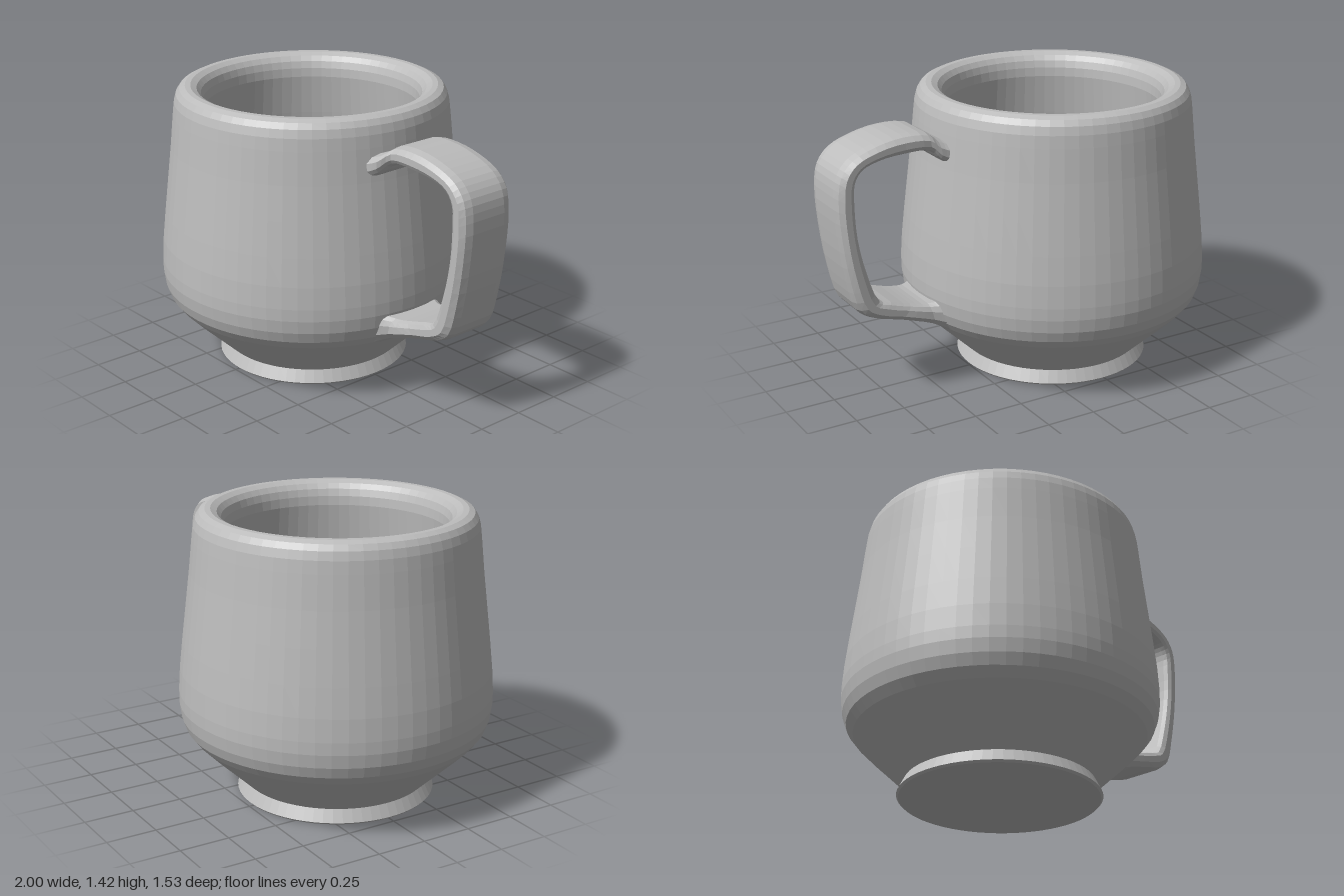
import * as THREE from 'three';

// Handle stations: outer x, y, inner x, y, half width, z offset
const STATIONS = [
  [0.40, 1.24, 0.40, 1.13, 0.20, 0.025],
  [0.48, 1.265, 0.47, 1.165, 0.185, 0.02],
  [0.53, 1.30, 0.52, 1.215, 0.16, 0.005],
  [0.66, 1.31, 0.65, 1.22, 0.157, 0.005],
  [0.80, 1.285, 0.79, 1.205, 0.157, 0.005],
  [0.92, 1.235, 0.87, 1.175, 0.157, 0.005],
  [0.98, 1.165, 0.905, 1.12, 0.157, 0.005],
  [1.00, 1.06, 0.91, 1.02, 0.157, 0.005],
  [0.99, 0.87, 0.90, 0.85, 0.157, 0.005],
  [0.955, 0.64, 0.86, 0.67, 0.157, 0.005],
  [0.91, 0.49, 0.80, 0.52, 0.157, 0.005],
  [0.84, 0.435, 0.74, 0.50, 0.157, 0.005],
  [0.70, 0.395, 0.64, 0.47, 0.157, 0.005],
  [0.52, 0.335, 0.55, 0.455, 0.17, 0.005],
  [0.42, 0.28, 0.46, 0.47, 0.215, 0.005],
];

// Rounded strap section: u runs inner to outer, v runs across the width
const SECTION = [
  [1, -0.62], [1, 0.62], [0.9, 0.86], [0.65, 1], [0.3, 1], [0.1, 0.93], [0, 0.8],
  [0, -0.8], [0.1, -0.93], [0.3, -1], [0.65, -1], [0.9, -0.86],
];

function handleGeometry(steps) {
  const curve = (pick) => new THREE.CatmullRomCurve3(STATIONS.map((s) => new THREE.Vector3(...pick(s))));
  const outer = curve((s) => [s[0], s[1], s[5]]);
  const inner = curve((s) => [s[2], s[3], s[5]]);
  const positions = [];
  const index = [];
  const n = SECTION.length;
  for (let i = 0; i <= steps; i++) {
    const t = i / steps;
    const o = outer.getPoint(t);
    const p = inner.getPoint(t);
    const k = t * (STATIONS.length - 1);
    const a = Math.min(Math.floor(k), STATIONS.length - 2);
    const w = THREE.MathUtils.lerp(STATIONS[a][4], STATIONS[a + 1][4], k - a);
    for (const [u, v] of SECTION) {
      const q = p.clone().lerp(o, u);
      positions.push(q.x, q.y, q.z + v * w);
    }
    if (i === steps) break;
    for (let j = 0; j < n; j++) {
      const b = i * n + j;
      const c = i * n + ((j + 1) % n);
      index.push(b, c, c + n, b, c + n, b + n);
    }
  }
  const geometry = new THREE.BufferGeometry();
  geometry.setAttribute('position', new THREE.Float32BufferAttribute(positions, 3));
  geometry.setIndex(index);
  geometry.computeVertexNormals();
  return geometry;
}

export function createModel() {
  const model = new THREE.Group();
  model.name = 'mug';
  const ceramic = new THREE.MeshStandardMaterial({ color: 0xbcbcbc, flatShading: true });
  ceramic.name = 'grey ceramic';

  const add = (name, geometry, x) => {
    const mesh = new THREE.Mesh(geometry, ceramic);
    mesh.name = name;
    mesh.position.x = x;
    model.add(mesh);
  };
  const lathe = (profile) => new THREE.LatheGeometry(profile.map(([r, y]) => new THREE.Vector2(r, y)), 64);

  // Flared foot ring with a closed underside
  add('foot', lathe([[0, 0], [0.475, 0], [0.485, 0.01], [0.455, 0.07], [0.44, 0.09]]), -0.235);

  // Bowl: outside wall, rolled rim, inside wall and floor
  add('bowl', lathe([
    [0.45, 0.065], [0.55, 0.16], [0.64, 0.245], [0.70, 0.305], [0.735, 0.35], [0.755, 0.405],
    [0.764, 0.47], [0.764, 0.53], [0.757, 0.64], [0.742, 0.78], [0.722, 0.95], [0.702, 1.12],
    [0.686, 1.28], [0.679, 1.34], [0.668, 1.38], [0.65, 1.407], [0.622, 1.42], [0.595, 1.42],
    [0.565, 1.405], [0.545, 1.38], [0.534, 1.345], [0.53, 1.30], [0.55, 1.10], [0.58, 0.85],
    [0.605, 0.60], [0.60, 0.50], [0.575, 0.42], [0.53, 0.36], [0.43, 0.25], [0.315, 0.14], [0, 0.14],
  ]), -0.235);

  // Strap handle with flared joints
  add('handle', handleGeometry(42), 0);
  return model;
}
